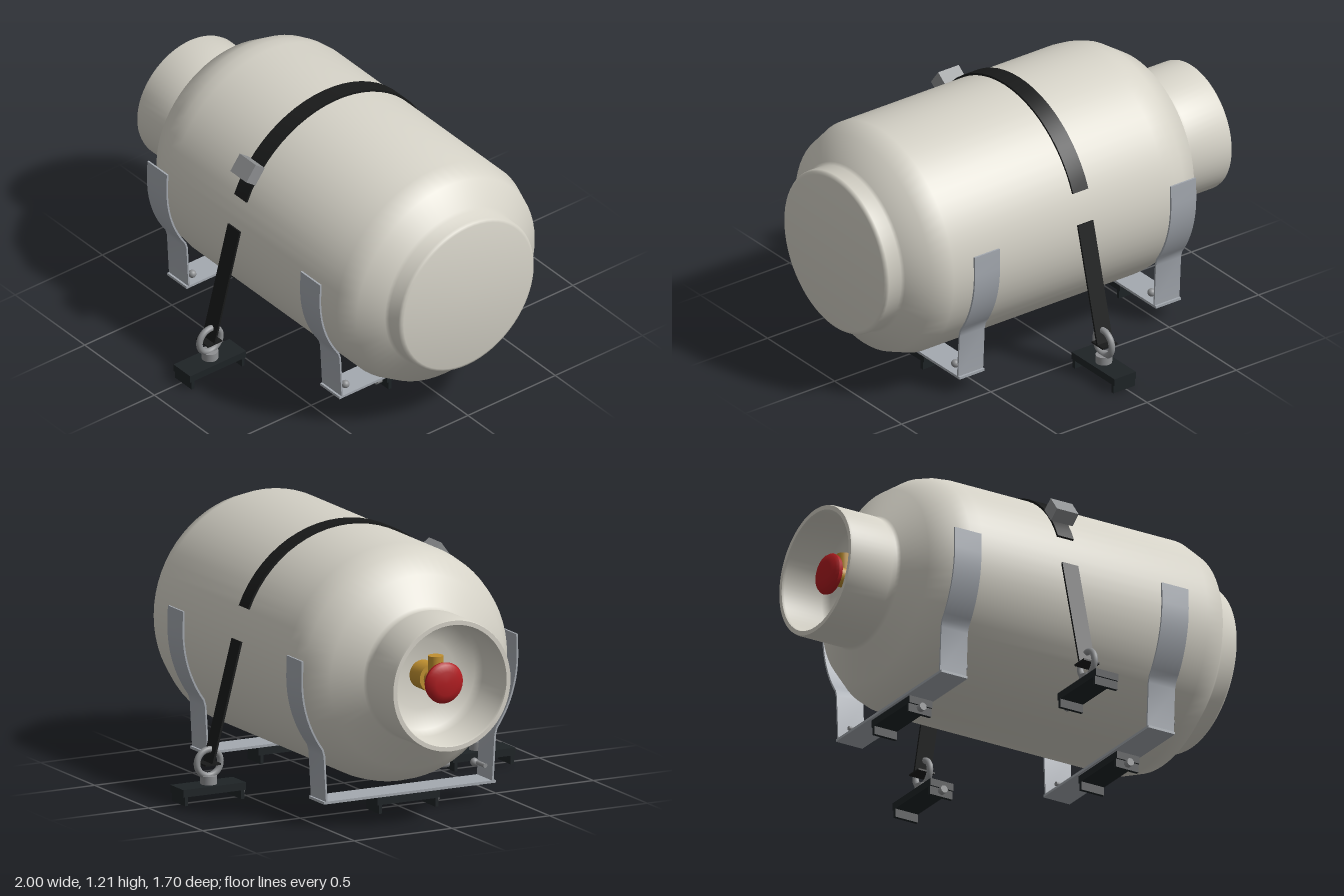
import * as THREE from 'three';
import { toCreasedNormals } from 'three/addons/utils/BufferGeometryUtils.js';

const mat = (color) => new THREE.MeshStandardMaterial({ color });
const CY = 0.655; // height of the tank axis
const STRAP_X = 0.005;

export function createModel() {
  const root = new THREE.Group();
  const cream = mat(0xd6d3c8), steel = mat(0xa4a9b0), metal = mat(0x8e9092);
  const black = mat(0x191a1a), iron = mat(0x1e2326), red = mat(0xb01c20), brass = mat(0xc09030);

  const add = (name, geometry, material, x, y, z, parent = root) => {
    const m = new THREE.Mesh(geometry, material);
    m.name = name;
    m.position.set(x, y, z);
    parent.add(m);
    return m;
  };
  // Solid of revolution about the x axis, from [x, radius] points
  const turned = (pts, sides, crease) => toCreasedNormals(
    new THREE.LatheGeometry(pts.map(([x, r]) => new THREE.Vector2(r, x)), sides).rotateZ(-Math.PI / 2), crease);

  // Flat band of even thickness along a path of [z, y] points
  const band = (path, width, t) => {
    const p = path.map(([z, y]) => new THREE.Vector2(z, y));
    const side = (s) => p.map((v, i) => {
      const d = p[Math.min(i + 1, p.length - 1)].clone().sub(p[Math.max(i - 1, 0)]).normalize();
      return new THREE.Vector2(v.x - d.y * s, v.y + d.x * s);
    });
    const shape = new THREE.Shape([...side(t / 2), ...side(-t / 2).reverse()]);
    const g = new THREE.ExtrudeGeometry(shape, { depth: width, bevelEnabled: false });
    return toCreasedNormals(g.translate(0, 0, -width / 2).rotateY(-Math.PI / 2), 0.5);
  };
  const arc = (r, from, to, n) => Array.from({ length: n + 1 }, (_, i) => {
    const a = THREE.MathUtils.degToRad(from + (to - from) * i / n);
    return [r * Math.cos(a), CY + r * Math.sin(a)];
  });

  // Tank with hollow valve collar, shoulders and foot ring
  add('tank', turned([
    [-0.72, 0], [-0.73, 0.16], [-0.76, 0.25], [-0.79, 0.275], [-0.99, 0.275], [-1, 0.28], [-1, 0.3],
    [-0.99, 0.303], [-0.78, 0.303], [-0.755, 0.298], [-0.74, 0.31], [-0.68, 0.445], [-0.57, 0.52], [-0.51, 0.538],
    [-0.45, 0.545], [0.74, 0.545], [0.84, 0.51], [0.905, 0.4], [0.918, 0.387], [0.985, 0.387],
    [0.996, 0.38], [1, 0.368], [1, 0],
  ], 64, 1.1), cream, 0, CY, 0);

  // Valve inside the collar
  const valve = new THREE.Group();
  valve.name = 'valve';
  valve.position.set(0, CY, 0);
  root.add(valve);
  add('valveBody', turned([[-0.9, 0], [-0.9, 0.045], [-0.82, 0.045], [-0.82, 0.065], [-0.71, 0.065]], 24, 0.7),
    brass, 0, 0, 0, valve);
  add('valveOutlet', new THREE.CylinderGeometry(0.035, 0.035, 0.11, 20), brass, -0.85, 0.055, 0, valve);
  add('handwheel', turned([
    [-0.955, 0], [-0.955, 0.055], [-0.945, 0.085], [-0.93, 0.095], [-0.91, 0.09], [-0.895, 0.06], [-0.895, 0],
  ], 28, 0.7), red, 0, 0, 0, valve);

  // Floor clamp: plate, two end lips and a bolt on the given side
  const clamp = (x, z, boltSide) => {
    const g = new THREE.Group();
    g.name = 'floorClamp';
    g.position.set(x, 0, z);
    root.add(g);
    add('clampPlate', new THREE.BoxGeometry(0.12, 0.035, 0.32), iron, 0, 0.0575, 0, g);
    for (const s of [-1, 1]) {
      add('clampLip', new THREE.BoxGeometry(0.12, 0.045, 0.016), iron, 0, 0.0225, s * 0.144, g);
    }
    const bolt = new THREE.CylinderGeometry(0.018, 0.018, 0.03, 16).rotateX(Math.PI / 2);
    add('clampBolt', bolt, metal, 0, 0.027, boltSide * 0.165, g);
  };

  // Two U-shaped cradles
  const leg = [[0.425, 0.085], [0.437, 0.3], ...arc(0.551, -36, 0, 10), [0.549, 0.75]];
  for (const x of [-0.54, 0.56]) {
    const g = new THREE.Group();
    g.name = 'cradle';
    root.add(g);
    add('cradleBase', new THREE.BoxGeometry(0.14, 0.012, 0.88), steel, x, 0.084, 0, g);
    for (const s of [-1, 1]) {
      const path = leg.map(([z, y]) => [s * z, y]);
      add('cradleArm', band(s < 0 ? path : path.reverse(), 0.14, 0.009), steel, x, 0, 0, g);
      add('cradleBolt', new THREE.SphereGeometry(0.019, 16, 12), metal, x + 0.07, 0.148, s * 0.408, g);
      const pin = new THREE.CylinderGeometry(0.01, 0.01, 0.09, 12).rotateZ(Math.PI / 2);
      add('cradlePin', pin, metal, x + 0.025, 0.148, s * 0.415, g);
    }
    clamp(x, 0, 1);
  }

  // Hold-down strap over the tank
  add('strapTop', band(arc(0.549, 22.5, 157.5, 24), 0.085, 0.012), black, STRAP_X, 0, 0);
  const buckle = add('buckle', new THREE.BoxGeometry(0.115, 0.09, 0.065), metal, STRAP_X + 0.003, 1.008, 0.472);
  buckle.rotation.x = -THREE.MathUtils.degToRad(37);

  // Strap tails, eye bolts and outer clamps
  for (const s of [-1, 1]) {
    add('strapTail', band([[s * 0.545, 0.72], [s * 0.69, 0.17]], 0.085, 0.01), black, STRAP_X, 0, 0);
    add('strapHook', new THREE.BoxGeometry(0.085, 0.008, 0.08), black, STRAP_X, 0.17, s * 0.69);
    add('eyeBolt', new THREE.TorusGeometry(0.06, 0.015, 14, 36).rotateY(Math.PI / 2), metal, STRAP_X + 0.003, 0.172, s * 0.688);
    add('eyeBoltBase', new THREE.CylinderGeometry(0.038, 0.038, 0.042, 24), metal, STRAP_X + 0.003, 0.092, s * 0.688);
    clamp(0.01, s * 0.69, -s);
  }
  return root;
}
